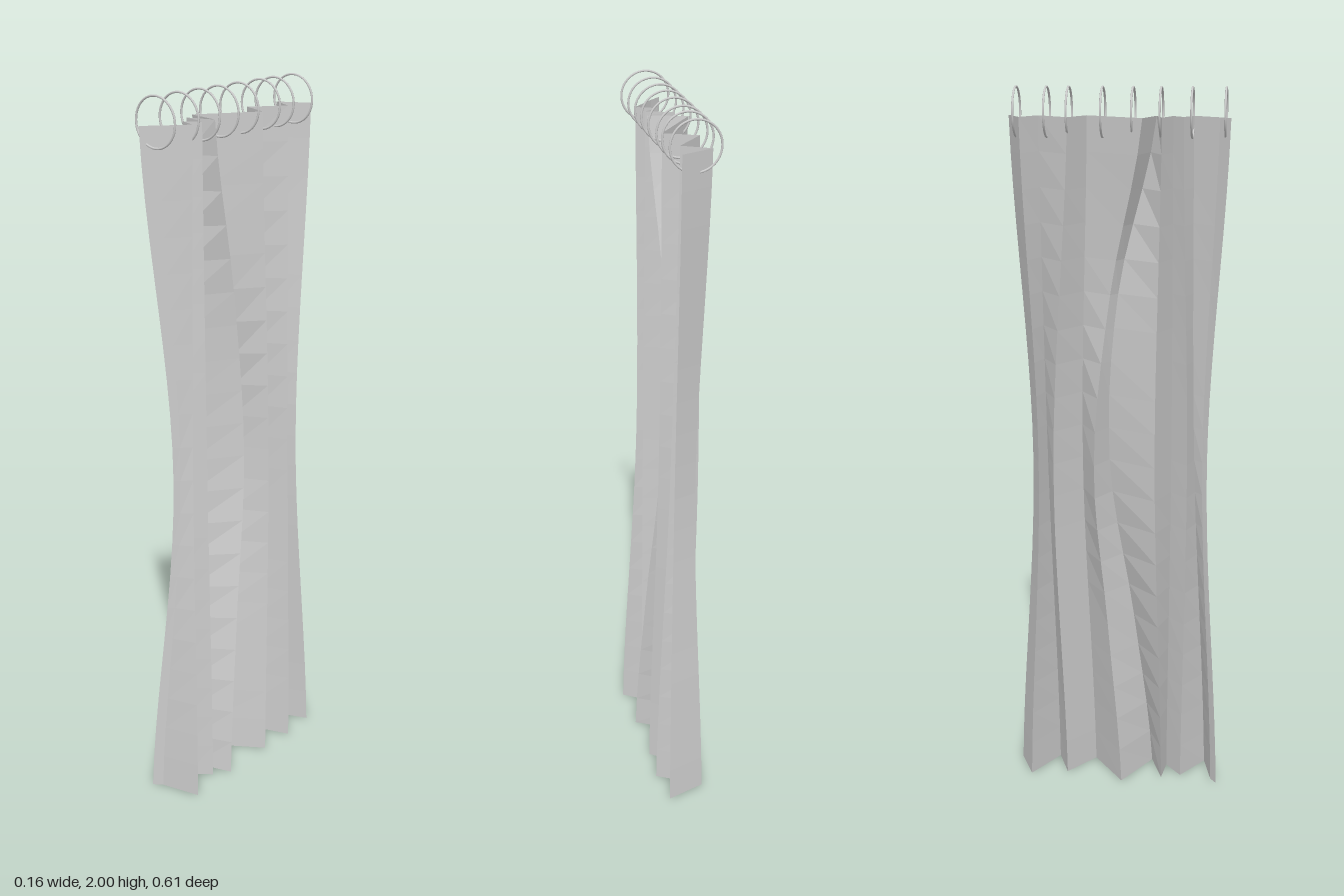
import * as THREE from 'three';

const TOP = 1.92;

// Fold lines of the cloth from back to front, each a path of [x, z] from hem to top edge
const folds = [
  [[.057, -.298], [.034, -.25], [.03, -.303]],
  [[-.05, -.255], [-.03, -.225], [-.058, -.262]],
  [[.072, -.185], [.037, -.208], [.015, -.22]],
  [[-.03, -.15], [-.049, -.18], [-.058, -.132]],
  [[.068, -.075], [.045, -.108], [.03, -.09]],
  [[-.072, .015], [-.04, -.028], [-.055, -.065], [-.02, -.022], [-.08, .07]],
  [[.073, .095], [.05, .04], [.02, -.028], [.004, -.002], [.025, .1]],
  [[-.04, .13], [-.066, .107], [-.055, .12]],
  [[.042, .14], [.032, .147], [.02, .145]],
  [[-.02, .185], [-.022, .195], [-.02, .175]],
  [[.08, .252], [.037, .212], [.035, .2]],
  [[-.035, .276], [.012, .236], [-.025, .272]],
  [[-.06, .293], [-.001, .25], [-.055, .302]],
].map((path) => new THREE.SplineCurve(path.map(([x, z]) => new THREE.Vector2(x, z))));

function createCloth(material) {
  const rows = 20;
  const cols = folds.length;
  const positions = [];
  const indices = [];
  for (let r = 0; r <= rows; r++) {
    const t = r / rows;
    for (let c = 0; c < cols; c++) {
      const point = folds[c].getPoint(t);
      positions.push(point.x, t * TOP, point.y);
      if (r < rows && c < cols - 1) {
        const i = r * cols + c;
        indices.push(i, i + cols, i + 1, i + 1, i + cols, i + cols + 1);
      }
    }
  }
  const geometry = new THREE.BufferGeometry();
  geometry.setAttribute('position', new THREE.Float32BufferAttribute(positions, 3));
  geometry.setIndex(indices);
  geometry.computeVertexNormals();
  const cloth = new THREE.Mesh(geometry, material);
  cloth.name = 'curtainCloth';
  return cloth;
}

export function createModel() {
  const model = new THREE.Group();
  model.name = 'curtain';

  // Pleated hanging cloth
  model.add(createCloth(new THREE.MeshStandardMaterial({
    color: 0xcccccc, flatShading: true, side: THREE.DoubleSide,
  })));

  // Thin rings along the top edge
  const rings = new THREE.Group();
  rings.name = 'curtainRings';
  const ringGeometry = new THREE.TorusGeometry(.0658, .003, 8, 40);
  const ringMaterial = new THREE.MeshStandardMaterial({ color: 0xcccccc });
  for (const z of [-.275, -.193, -.133, -.042, .04, .115, .198, .287]) {
    const ring = new THREE.Mesh(ringGeometry, ringMaterial);
    ring.name = 'curtainRing';
    ring.position.set(-.0115, 1.9312, z);
    rings.add(ring);
  }
  model.add(rings);
  return model;
}
